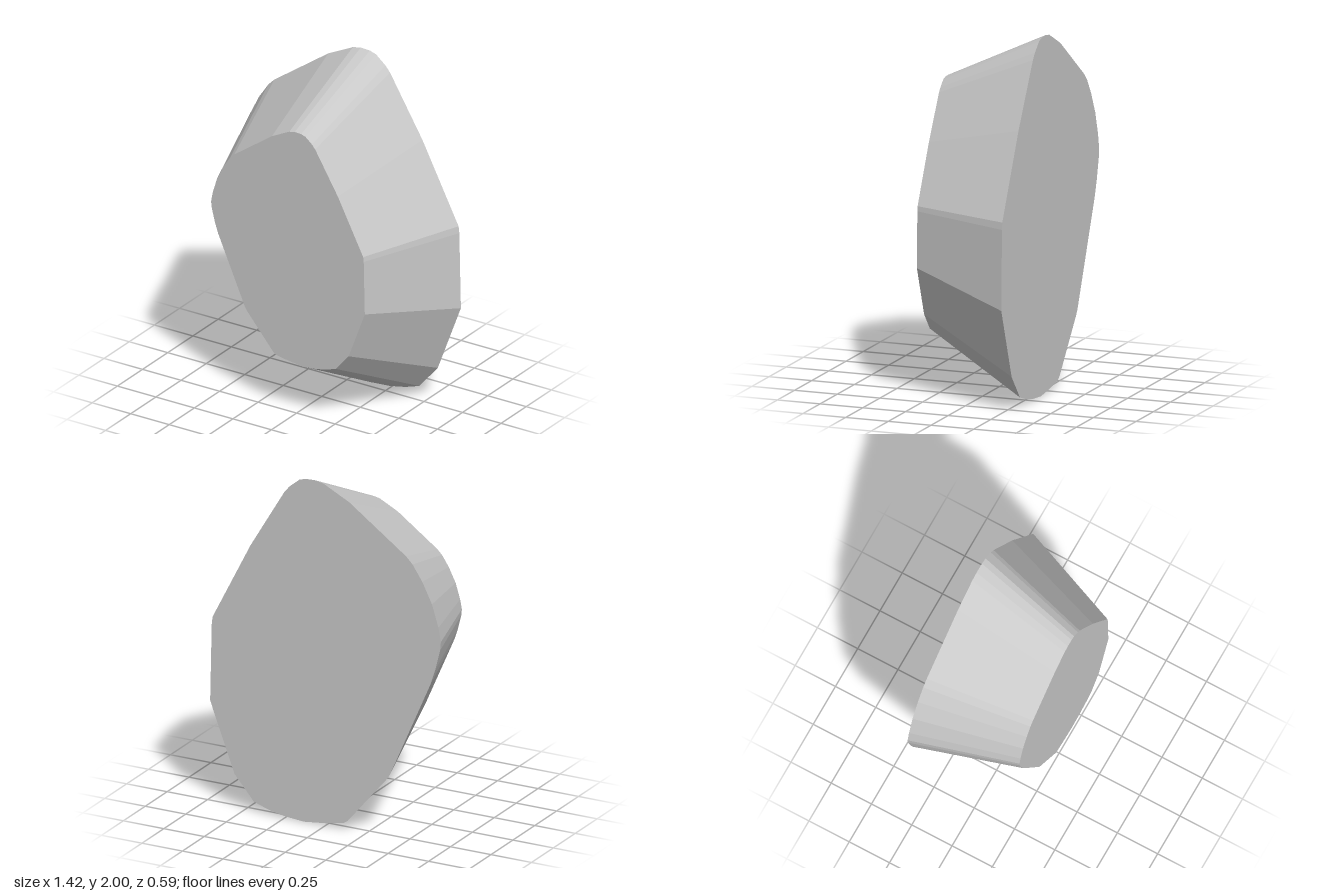
import * as THREE from 'three';

// Outline of the wide back face, counter-clockwise seen from the front
const OUTLINE = [
  [0.06, 2.0], [0.01, 1.99], [-0.15, 1.91], [-0.5, 1.66], [-0.54, 1.62], [-0.6, 1.53],
  [-0.66, 1.41], [-0.7, 1.28], [-0.715, 1.2], [-0.71, 1.15], [-0.68, 1.03], [-0.65, 0.94],
  [-0.4, 0.37], [-0.38, 0.34], [-0.14, 0.055], [-0.11, 0.035], [0, 0.015], [0.13, 0.0],
  [0.25, 0.01], [0.35, 0.03], [0.44, 0.06], [0.56, 0.2], [0.71, 0.6], [0.7, 1.05],
  [0.695, 1.09], [0.46, 1.55], [0.25, 1.9], [0.22, 1.935], [0.16, 1.985], [0.12, 1.998],
];
const DEPTH = 0.59;
const TAPER = 0.7; // size of the front face relative to the back

export function createModel() {
  const group = new THREE.Group();
  group.name = 'taperedStone';

  const stone = new THREE.MeshStandardMaterial({ color: 0xc8c8c8 });
  stone.name = 'stone grey';

  // Straight extrusion, then shrink the front face to slope the sides
  const shape = new THREE.Shape(OUTLINE.map(([x, y]) => new THREE.Vector2(x, y)));
  const geometry = new THREE.ExtrudeGeometry(shape, { depth: DEPTH, bevelEnabled: false });
  geometry.translate(0, 0, -DEPTH / 2);
  const pos = geometry.attributes.position;
  for (let i = 0; i < pos.count; i++) {
    if (pos.getZ(i) > 0) {
      pos.setXY(i, pos.getX(i) * TAPER - 0.025, pos.getY(i) * TAPER + 0.317);
    }
  }
  geometry.computeVertexNormals(); // unshared vertices keep every facet flat

  const body = new THREE.Mesh(geometry, stone);
  body.name = 'stoneBody';
  group.add(body);
  return group;
}
